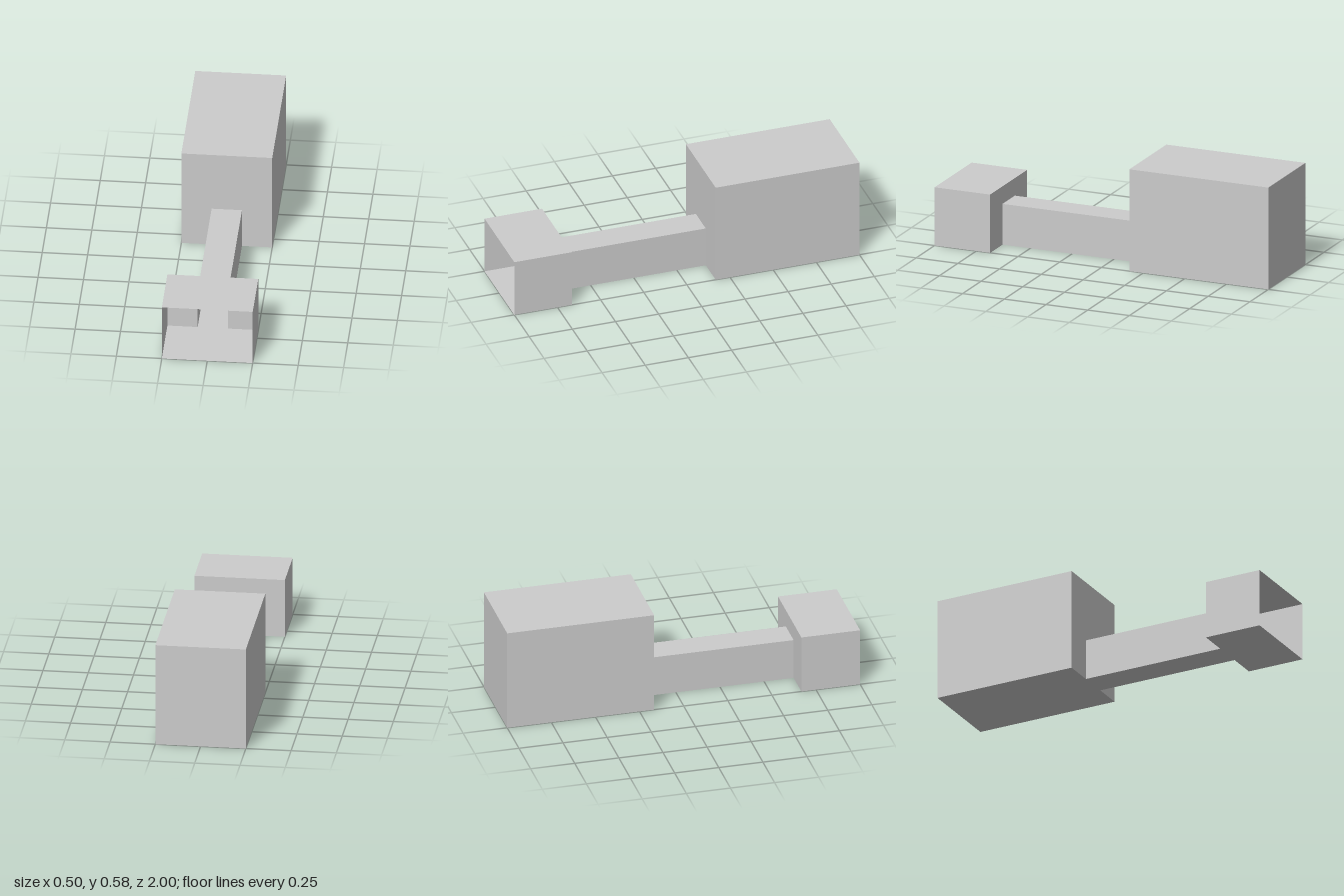
import * as THREE from 'three';

const material = new THREE.MeshStandardMaterial({ color: 0xcccccc, flatShading: true, side: THREE.DoubleSide });
const passage = { halfWidth: 0.0835, height: 0.2335 };

function addMesh(group, name, geometry) {
  const mesh = new THREE.Mesh(geometry, material);
  mesh.name = name;
  group.add(mesh);
}

// Floor, ceiling and two side walls as thin sheets, open at both ends
function addSleeve(group, halfWidth, height, zBack, zFront) {
  const depth = zFront - zBack, z = (zFront + zBack) / 2;
  const flat = () => new THREE.PlaneGeometry(halfWidth * 2, depth);
  addMesh(group, 'floor', flat().rotateX(Math.PI / 2).translate(0, 0, z));
  addMesh(group, 'ceiling', flat().rotateX(-Math.PI / 2).translate(0, height, z));
  for (const [name, side] of [['leftWall', 1], ['rightWall', -1]]) {
    const wall = new THREE.PlaneGeometry(depth, height);
    addMesh(group, name, wall.rotateY(side * Math.PI / 2).translate(side * halfWidth, height / 2, z));
  }
}

// End wall with a doorway the size of the passage cut up from the floor
function addDoorWall(group, halfWidth, height, z) {
  const { halfWidth: d, height: h } = passage;
  const points = [
    [-halfWidth, 0], [-d, 0], [-d, h], [d, h], [d, 0],
    [halfWidth, 0], [halfWidth, height], [-halfWidth, height],
  ].map(([x, y]) => new THREE.Vector2(x, y));
  addMesh(group, 'doorWall', new THREE.ShapeGeometry(new THREE.Shape(points)).translate(0, 0, z));
}

function addSection(model, name) {
  const group = new THREE.Group();
  group.name = name;
  model.add(group);
  return group;
}

export function createModel() {
  const model = new THREE.Group();
  model.name = 'connectedRooms';

  // Small room, open towards the front
  const entrance = addSection(model, 'entranceRoom');
  addSleeve(entrance, 0.25, 0.334, 0.667, 1);
  addDoorWall(entrance, 0.25, 0.334, 0.667);

  // Narrow passage between the rooms
  const corridor = addSection(model, 'corridor');
  addSleeve(corridor, passage.halfWidth, passage.height, -0.167, 0.667);

  // Large room, closed at the back
  const hall = addSection(model, 'mainRoom');
  addSleeve(hall, 0.25, 0.584, -1, -0.167);
  addDoorWall(hall, 0.25, 0.584, -0.167);
  addMesh(hall, 'backWall', new THREE.PlaneGeometry(0.5, 0.584).rotateY(Math.PI).translate(0, 0.292, -1));

  return model;
}
